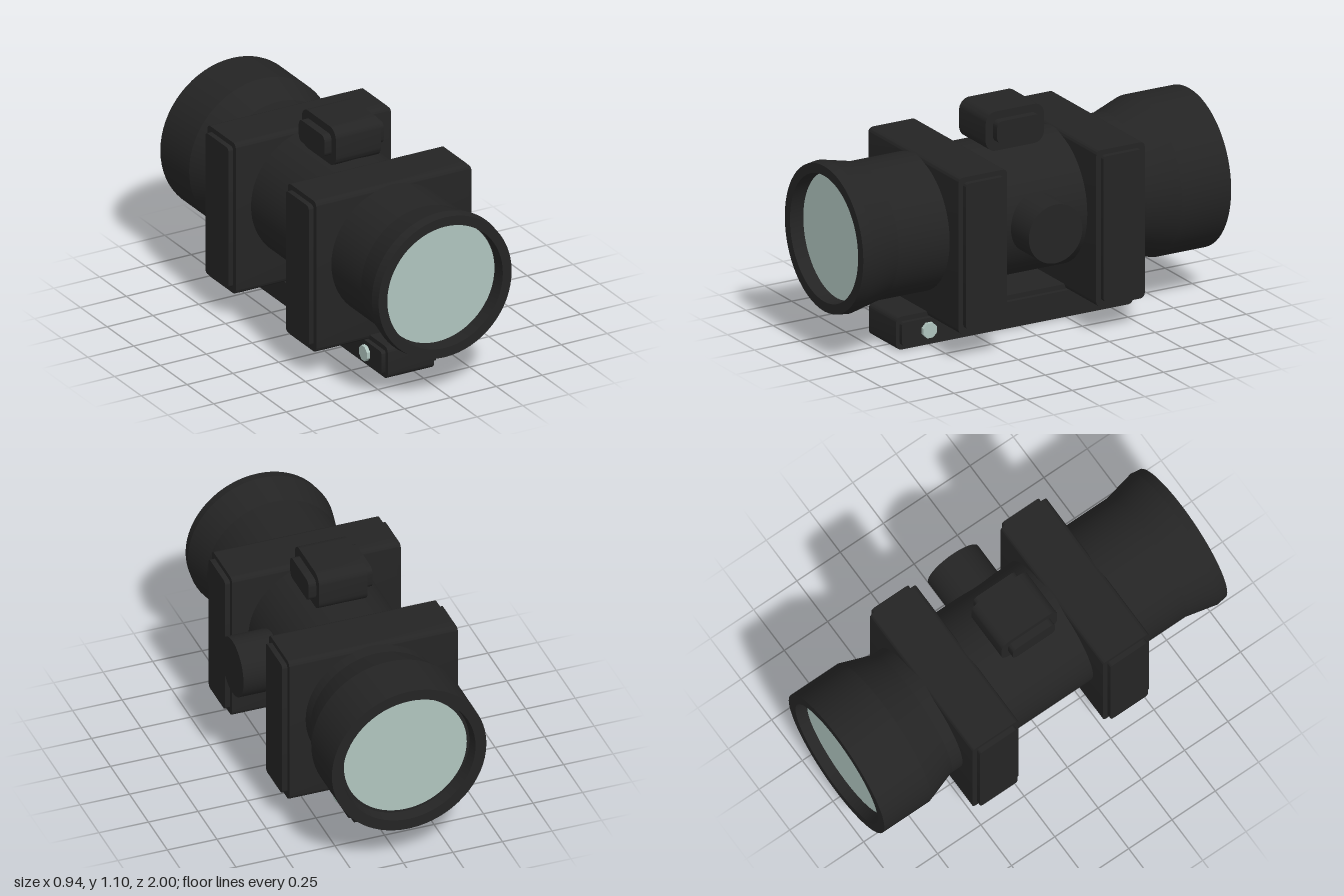
import * as THREE from 'three';
import { toCreasedNormals } from 'three/addons/utils/BufferGeometryUtils.js';

const AXIS_Y = 0.58; // height of the optical axis

export function createModel() {
  const black = new THREE.MeshStandardMaterial({ color: 0x242424 });
  black.name = 'matte black';
  const glass = new THREE.MeshStandardMaterial({ color: 0xafc4be });
  glass.name = 'pale green glass';

  const model = new THREE.Group();
  model.name = 'opticalSight';
  const body = new THREE.Group();
  body.name = 'sightBody';
  body.position.x = -0.029;
  model.add(body);

  function add(name, geometry, material) {
    const mesh = new THREE.Mesh(geometry, material);
    mesh.name = name;
    body.add(mesh);
    return mesh;
  }

  // Slab across x with rounded corners in its side profile
  function slab(name, width, y0, y1, z0, z1, r) {
    const a = (z1 - z0) / 2, b = (y1 - y0) / 2;
    const s = new THREE.Shape();
    s.moveTo(-a + r, -b);
    s.lineTo(a - r, -b);
    s.absarc(a - r, -b + r, r, -Math.PI / 2, 0);
    s.lineTo(a, b - r);
    s.absarc(a - r, b - r, r, 0, Math.PI / 2);
    s.lineTo(-a + r, b);
    s.absarc(-a + r, b - r, r, Math.PI / 2, Math.PI);
    s.lineTo(-a, -b + r);
    s.absarc(-a + r, -b + r, r, Math.PI, Math.PI * 1.5);
    const g = new THREE.ExtrudeGeometry(s, { depth: width, bevelEnabled: false, curveSegments: 5 });
    g.translate(0, 0, -width / 2);
    g.rotateY(Math.PI / 2);
    g.translate(0, (y0 + y1) / 2, (z0 + z1) / 2);
    return add(name, toCreasedNormals(g, 0.6), black);
  }

  // Main tube: flared rear bell, straight middle, slight front flare, open bores
  const profile = [
    [0.325, -0.94], [0.335, -1], [0.39, -1], [0.39, -0.73], [0.335, -0.57],
    [0.335, 0.79], [0.37, 0.95], [0.363, 1], [0.315, 1], [0.315, 0.92],
  ].map(([r, z]) => new THREE.Vector2(r, z));
  const tube = new THREE.LatheGeometry(profile, 64);
  tube.rotateX(Math.PI / 2);
  tube.translate(0, AXIS_Y, 0);
  add('tube', toCreasedNormals(tube, 0.15), black);

  // Recessed lenses, each with a dark seat behind the glass
  for (const [label, z, dir] of [['front', 0.93, 1], ['rear', -0.95, -1]]) {
    const turn = dir > 0 ? 0 : Math.PI;
    const lens = add(label + 'Lens', new THREE.CircleGeometry(0.31, 64), glass);
    lens.position.set(0, AXIS_Y, z);
    lens.rotation.y = turn;
    const seat = add(label + 'LensSeat', new THREE.CircleGeometry(0.34, 64), black);
    seat.position.set(0, AXIS_Y, z - dir * 0.006);
    seat.rotation.y = turn;
  }

  // Two mounting blocks with raised side plates
  for (const [label, z] of [['front', 0.377], ['rear', -0.377]]) {
    slab(label + 'MountBlock', 0.835, 0.138, 0.92, z - 0.133, z + 0.133, 0.025);
    slab(label + 'MountSidePlates', 0.887, 0.165, 0.895, z - 0.108, z + 0.108, 0.02);
  }

  // Top adjustment housing with side caps
  slab('topHousing', 0.245, 0.9, 1.096, -0.133, 0.187, 0.055);
  slab('topHousingCaps', 0.323, 0.945, 1.057, -0.095, 0.147, 0.03);

  // Side turret
  const turret = new THREE.CylinderGeometry(0.147, 0.147, 0.3, 40);
  turret.rotateZ(Math.PI / 2);
  turret.translate(0.349, AXIS_Y, 0.027);
  add('sideTurret', turret, black);

  // Base rail with side strips and clamp bolts
  slab('baseRail', 0.252, 0, 0.165, -0.62, 0.68, 0.03);
  slab('railSideStrips', 0.298, 0.024, 0.141, -0.6, 0.66, 0.015);
  for (const z of [0.517, -0.457]) {
    const bolt = new THREE.CylinderGeometry(0.04, 0.04, 0.334, 8);
    bolt.rotateZ(Math.PI / 2);
    bolt.rotateX(Math.PI / 8);
    bolt.translate(0, 0.083, z);
    add('clampBolt', toCreasedNormals(bolt, 0.3), glass);
  }

  return model;
}
